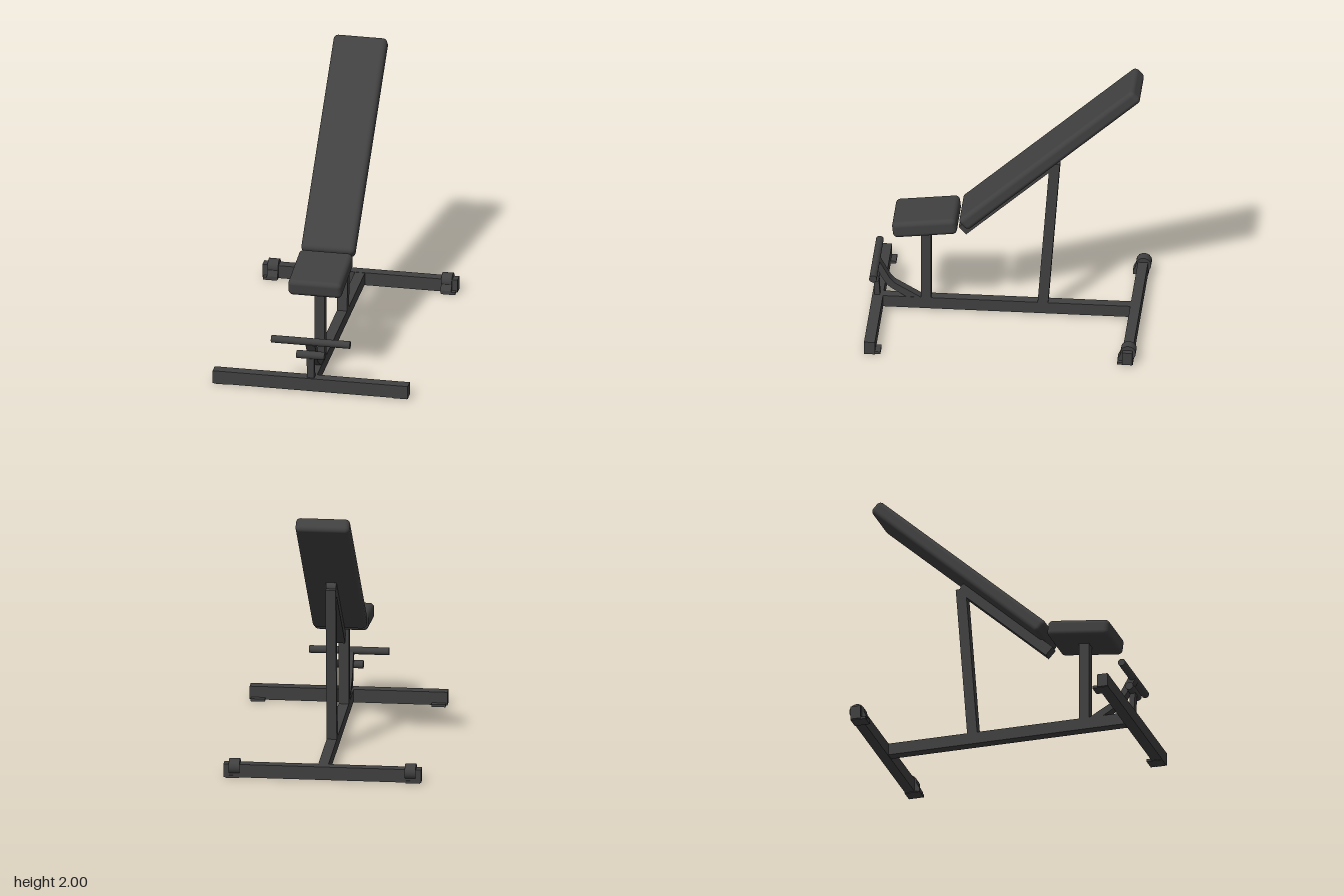
import * as THREE from 'three';
import { RoundedBoxGeometry } from 'three/addons/geometries/RoundedBoxGeometry.js';

export function createModel() {
  const bench = new THREE.Group();
  bench.name = 'adjustableBench';
  const charcoal = new THREE.MeshStandardMaterial({ color: 0x404040 });
  charcoal.name = 'charcoal';

  const add = (name, geometry, x = 0, y = 0, z = 0) => {
    const mesh = new THREE.Mesh(geometry, charcoal);
    mesh.name = name;
    mesh.position.set(x, y, z);
    bench.add(mesh);
    return mesh;
  };
  const box = (name, w, h, d, x, y, z) => add(name, new THREE.BoxGeometry(w, h, d), x, y, z);
  // Runs a geometry's z axis between two [z, y] points in the middle plane
  const along = (name, geometry, [z0, y0], [z1, y1]) => {
    const mesh = add(name, geometry, 0, (y0 + y1) / 2, (z0 + z1) / 2);
    mesh.rotation.x = -Math.atan2(y1 - y0, z1 - z0);
    return mesh;
  };
  const beam = (name, w, t, p, q) =>
    along(name, new THREE.BoxGeometry(w, t, Math.hypot(q[0] - p[0], q[1] - p[1])), p, q);
  const bar = (name, r, length, x, y, z) =>
    add(name, new THREE.CylinderGeometry(r, r, length, 24).rotateZ(Math.PI / 2), x, y, z);
  // Side outline in (z, y), extruded across x
  const sidePlate = (name, shape, width, x = 0) => {
    const g = new THREE.ExtrudeGeometry(shape, { depth: width, bevelEnabled: false, curveSegments: 10 });
    g.translate(0, 0, -width / 2).rotateY(-Math.PI / 2);
    return add(name, g, x);
  };

  // Floor frame
  box('frontCrossbar', 1.46, 0.1, 0.08, 0, 0.053, 0.96);
  box('rearCrossbar', 1.46, 0.1, 0.075, 0, 0.055, -0.94);
  box('spine', 0.075, 0.09, 1.84, 0, 0.058, 0.01);

  // Feet, wheels and wheel brackets
  for (const side of [-1, 1]) {
    box('frontFoot', 0.105, 0.02, 0.12, side * 0.667, 0.01, 0.94);
    box('rearFoot', 0.105, 0.02, 0.115, side * 0.667, 0.01, -0.923);
    bar('wheel', 0.057, 0.08, side * 0.65, 0.082, -0.943);
    const bracket = new THREE.Shape();
    bracket.moveTo(-0.865, 0.005);
    bracket.lineTo(-0.865, 0.03);
    bracket.lineTo(-0.905, 0.105);
    bracket.lineTo(-0.975, 0.105);
    bracket.lineTo(-0.975, 0.005);
    sidePlate('wheelBracket', bracket, 0.08, side * 0.65);
  }

  // Uprights and back rail
  box('seatPost', 0.075, 0.64, 0.075, 0, 0.4, 0.603);
  beam('rearPost', 0.075, 0.077, [-0.255, 0.06], [-0.346, 1.28]);
  beam('backRail', 0.075, 0.08, [0.335, 0.682], [-0.32, 1.275]);
  bar('backHinge', 0.035, 0.075, 0, 1.285, -0.315);

  // Cushions
  along('seatCushion', new RoundedBoxGeometry(0.4, 0.125, 0.475, 5, 0.035), [0.84, 0.742], [0.365, 0.798]);
  const back = add('backCushion', new RoundedBoxGeometry(0.4, 0.11, 1.734, 5, 0.035), 0, 1.39, -0.32);
  back.rotation.x = THREE.MathUtils.degToRad(42.2);

  // Curved leg arm
  const arm = new THREE.Shape();
  arm.moveTo(0.62, 0.09);
  arm.lineTo(0.82, 0.205);
  arm.quadraticCurveTo(0.855, 0.225, 0.88, 0.27);
  arm.lineTo(0.952, 0.4);
  arm.lineTo(0.998, 0.37);
  arm.lineTo(0.915, 0.235);
  arm.quadraticCurveTo(0.89, 0.19, 0.85, 0.165);
  arm.lineTo(0.73, 0.09);
  sidePlate('legArm', arm, 0.07);

  // Foot holds
  beam('footPost', 0.055, 0.04, [0.963, 0.09], [0.974, 0.285]);
  bar('lowerFootBar', 0.03, 0.21, 0, 0.282, 0.972);
  bar('upperFootBar', 0.028, 0.59, 0, 0.388, 0.972);

  return bench;
}
